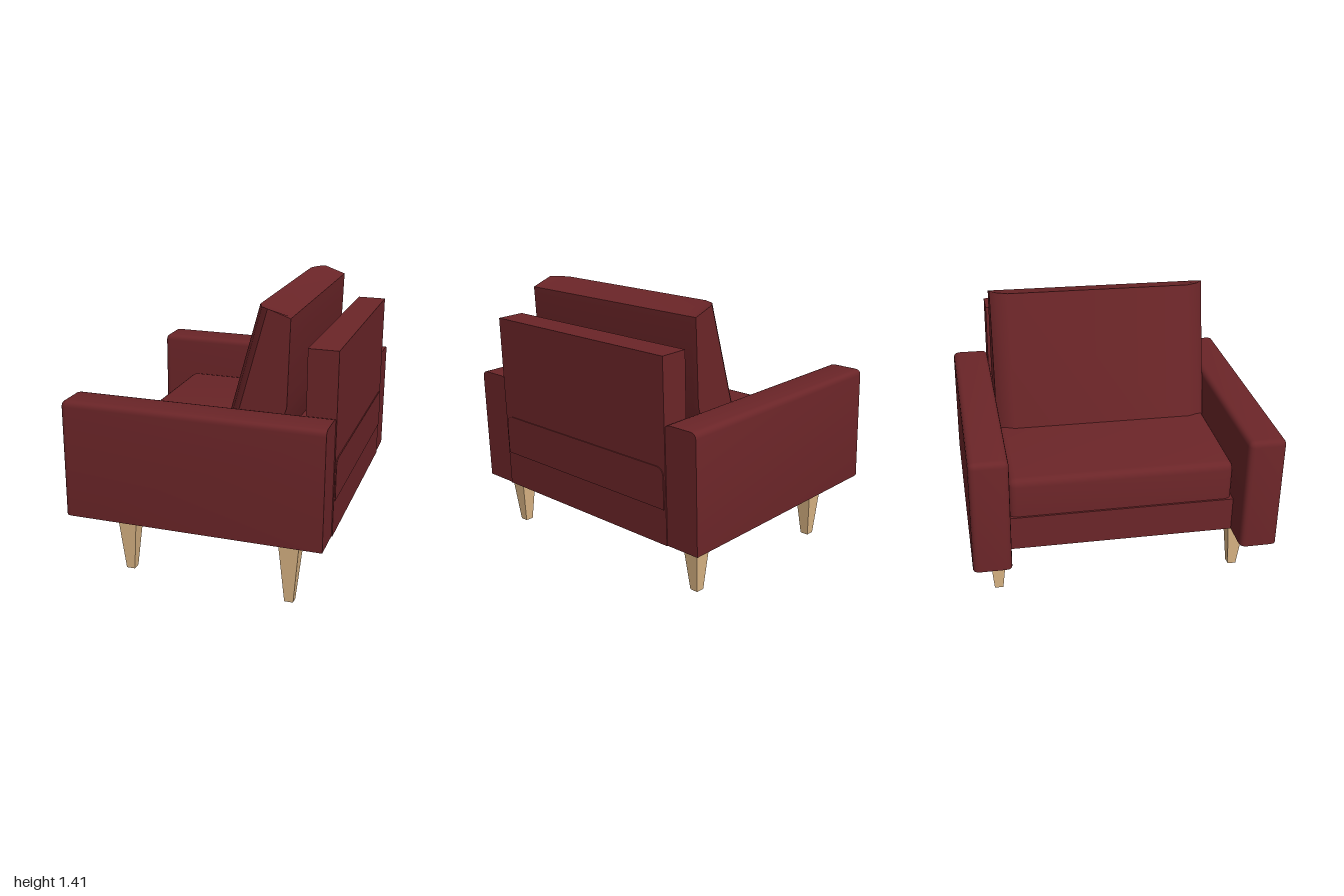
import * as THREE from 'three';
import { toCreasedNormals } from 'three/addons/utils/BufferGeometryUtils.js';
import { RoundedBoxGeometry } from 'three/addons/geometries/RoundedBoxGeometry.js';

const leather = new THREE.MeshStandardMaterial({ color: 0x6b2528 });
leather.name = 'dark red leather';
const wood = new THREE.MeshStandardMaterial({ color: 0xdeb887 });
wood.name = 'pale wood';

function add(parent, name, geometry, material, crease = 0.7) {
  const mesh = new THREE.Mesh(toCreasedNormals(geometry, crease), material);
  mesh.name = name;
  parent.add(mesh);
  return mesh;
}

// Sharp block between two x, y and z limits
function block([x0, x1], [y0, y1], [z0, z1]) {
  return new THREE.BoxGeometry(x1 - x0, y1 - y0, z1 - z0)
    .translate((x0 + x1) / 2, (y0 + y1) / 2, (z0 + z1) / 2);
}

// Block with soft top, side and front edges but a flat, sharp bottom and back
function softBlock([x0, x1], [y0, y1], [z0, z1], r) {
  const g = new RoundedBoxGeometry(x1 - x0, y1 - y0 + r, z1 - z0 + r, 2, r);
  g.translate((x0 + x1) / 2, (y0 - r + y1) / 2, (z0 - r + z1) / 2);
  const p = g.attributes.position;
  for (let i = 0; i < p.count; i++) {
    p.setY(i, Math.max(p.getY(i), y0));
    p.setZ(i, Math.max(p.getZ(i), z0));
  }
  return g;
}

// Leaning cushion: a side profile swept across the seat, its front set back at the ends
function backCushionGeometry() {
  const profile = [[-0.065, 0.69], [-0.255, 1.4], [-0.425, 1.362], [-0.415, 0.94], [-0.34, 0.69]];
  const stations = [[-0.57, 0.06], [-0.54, 0.025], [-0.48, 0], [0.48, 0], [0.54, 0.025], [0.57, 0.06]];
  const n = profile.length;
  const positions = [];
  const index = [];
  for (const [x, inset] of stations) {
    profile.forEach(([z, y], i) => positions.push(x, y, z - (i < 2 ? inset : 0)));
  }
  for (let s = 0; s < stations.length - 1; s++) {
    for (let i = 0; i < n; i++) {
      const a = s * n + i;
      const b = s * n + (i + 1) % n;
      index.push(a, a + n, b, b, a + n, b + n);
    }
  }
  const last = (stations.length - 1) * n;
  for (let i = 1; i < n - 1; i++) {
    index.push(0, i, i + 1, last, last + i + 1, last + i);
  }
  const g = new THREE.BufferGeometry();
  g.setAttribute('position', new THREE.Float32BufferAttribute(positions, 3));
  g.setIndex(index);
  return g;
}

export function createModel() {
  const model = new THREE.Group();
  model.name = 'armchair';

  // The chair is turned sideways and leans very slightly
  const lean = new THREE.Group();
  lean.name = 'lean';
  lean.rotation.set(0.007, 0, -0.019);
  lean.position.x = -0.01;
  model.add(lean);
  const chair = new THREE.Group();
  chair.name = 'chair';
  chair.rotation.y = -0.96;
  lean.add(chair);

  // Frame
  add(chair, 'seatBase', block([-0.58, 0.58], [0.325, 0.505], [-0.645, 0.485]), leather);
  add(chair, 'backPanel', block([-0.58, 0.58], [0.325, 1.235], [-0.655, -0.51]), leather);
  for (const side of [-1, 1]) {
    const x = side < 0 ? [-0.765, -0.575] : [0.575, 0.765];
    add(chair, side < 0 ? 'rightArm' : 'leftArm',
      softBlock(x, [0.325, 0.92], [-0.65, 0.655], 0.03), leather);
  }

  // Cushions
  add(chair, 'seatCushion', softBlock([-0.57, 0.57], [0.505, 0.71], [-0.66, 0.475], 0.04), leather);
  add(chair, 'backCushion', backCushionGeometry(), leather);

  // Tapered square legs: x, z and foot height
  const legs = {
    rightFrontLeg: [-0.63, 0.38, 0.034], leftFrontLeg: [0.635, 0.36, 0.025],
    leftBackLeg: [0.695, -0.485, 0.018], rightBackLeg: [-0.6, -0.475, 0.034],
  };
  for (const [name, [x, z, foot]] of Object.entries(legs)) {
    const height = 0.33 - foot;
    const g = new THREE.CylinderGeometry(0.071, 0.031, height, 4).rotateY(Math.PI / 4);
    g.translate(x, foot + height / 2, z);
    add(chair, name, g, wood, 0.3);
  }
  return model;
}
